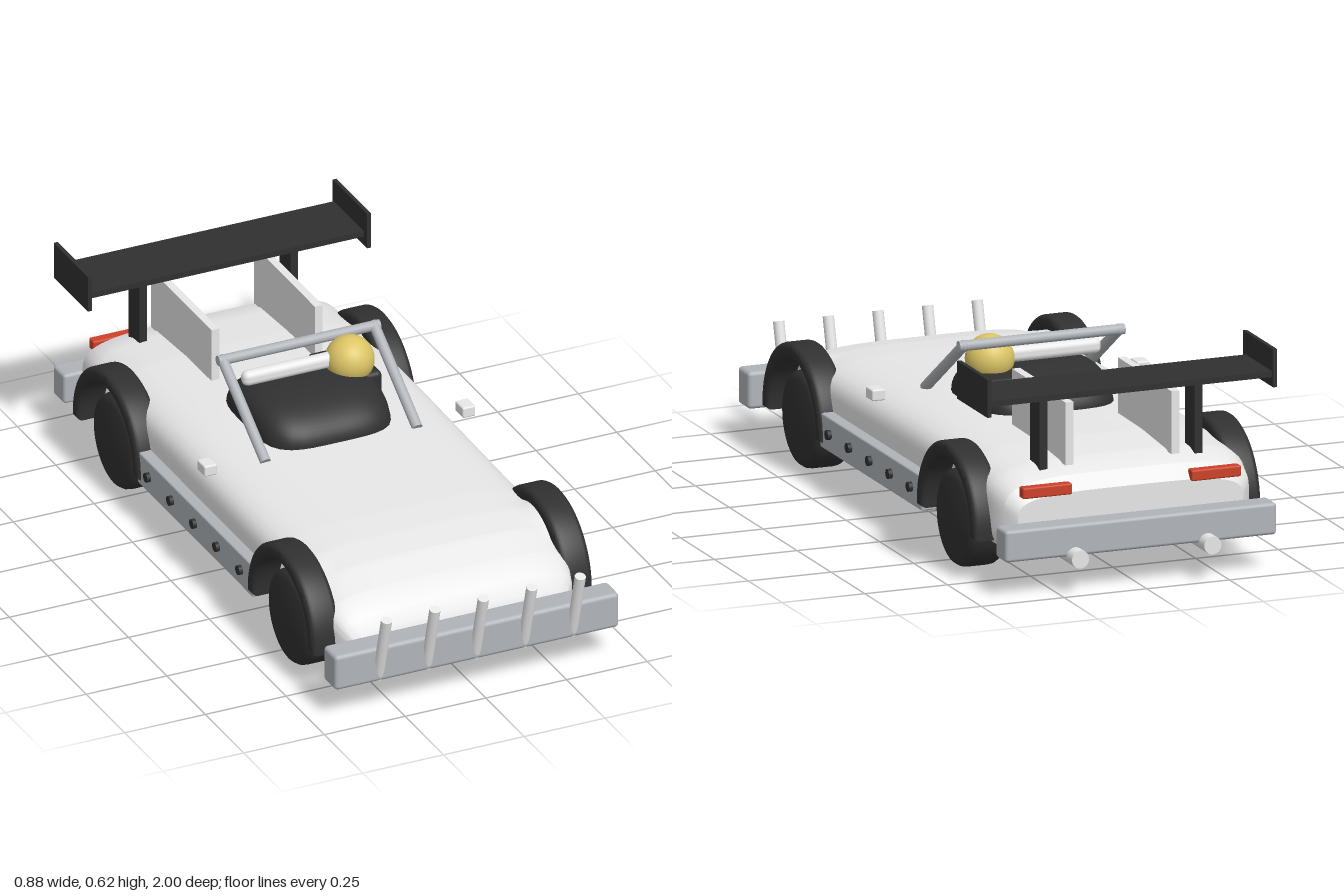
import * as THREE from 'three';
import { toCreasedNormals } from 'three/addons/utils/BufferGeometryUtils.js';
import { RoundedBoxGeometry } from 'three/addons/geometries/RoundedBoxGeometry.js';

const paint = (name, color) => {
  const m = new THREE.MeshStandardMaterial({ color });
  m.name = name;
  return m;
};

const WHEEL_Z = [0.57, -0.57];
const WHEEL_Y = 0.14;
const ARCH_R = 0.177;

// Body shell: cross-sections along z, cut upward by the full-width wheel arches.
function bodyGeometry() {
  // z, top, bottom, half width
  const keys = [
    [0.852, 0.17, 0.12, 0.31], [0.838, 0.205, 0.105, 0.335], [0.81, 0.241, 0.095, 0.358],
    [0.75, 0.282, 0.085, 0.377], [0.66, 0.317, 0.08, 0.385], [0.57, 0.332, 0.08, 0.388],
    [0.45, 0.34, 0.08, 0.39], [0, 0.35, 0.08, 0.39], [-0.2, 0.355, 0.08, 0.39],
    [-0.6, 0.35, 0.08, 0.39], [-0.78, 0.337, 0.08, 0.385], [-0.85, 0.312, 0.09, 0.37],
    [-0.88, 0.27, 0.11, 0.34],
  ];
  const zs = keys.map((k) => k[0]);
  for (const c of WHEEL_Z) {
    for (const s of [-1, 1]) zs.push(c + s * (ARCH_R + 0.0005));
    for (let i = 0; i <= 24; i++) zs.push(c + (ARCH_R - 0.0005) * Math.cos((i / 24) * Math.PI) + 1e-5);
  }
  zs.sort((a, b) => b - a);
  const sample = (z) => {
    let i = 0;
    while (i < keys.length - 2 && z < keys[i + 1][0]) i++;
    const t = (keys[i][0] - z) / (keys[i][0] - keys[i + 1][0]);
    return keys[i].map((v, k) => v + (keys[i + 1][k] - v) * t);
  };
  const N = 64, pos = [], idx = [];
  for (const z of zs) {
    const [, top, bottom, w] = sample(z);
    let floor = 0;
    for (const c of WHEEL_Z) {
      const d = ARCH_R * ARCH_R - (z - c) ** 2;
      if (d > 0) floor = WHEEL_Y + Math.sqrt(d);
    }
    for (let j = 0; j < N; j++) {
      const a = (j / N) * Math.PI * 2, c = Math.cos(a), s = Math.sin(a);
      const p = s < 0 ? 5 : 4;
      const r = 1 / Math.pow(Math.abs(c) ** p + Math.abs(s) ** p, 1 / p);
      const y = (top + bottom) / 2 + ((top - bottom) / 2) * r * s;
      pos.push(w * r * c, Math.max(y, floor), z);
    }
  }
  for (let i = 0; i < zs.length - 1; i++) {
    for (let j = 0; j < N; j++) {
      const k = (j + 1) % N;
      const a = i * N + j, b = i * N + k, d = a + N, e = b + N;
      idx.push(a, d, b, b, d, e);
    }
  }
  const last = (zs.length - 1) * N;
  for (let j = 1; j < N - 1; j++) idx.push(0, j, j + 1, last, last + j + 1, last + j);
  const g = new THREE.BufferGeometry();
  g.setAttribute('position', new THREE.Float32BufferAttribute(pos, 3));
  g.setIndex(idx);
  return toCreasedNormals(g, 0.6);
}

// Cockpit cover: boxy across, rounded front to back.
function coverGeometry() {
  const g = new THREE.SphereGeometry(1, 48, 32);
  const p = g.attributes.position;
  for (let i = 0; i < p.count; i++) {
    const x = p.getX(i), y = p.getY(i), z = p.getZ(i);
    const k = 1 / Math.pow(x ** 4 + (y * y + z * z) ** 2, 0.25);
    p.setXYZ(i, x * k * 0.2, y * k * 0.11, z * k * 0.205);
  }
  g.computeVertexNormals();
  return g;
}

// Half-ring mudguard, extruded along x.
function fenderGeometry() {
  const b = 0.016;
  const s = new THREE.Shape();
  s.absarc(0, 0, 0.218 - b, 0, Math.PI, false);
  s.absarc(0, 0, 0.174 + b, Math.PI, 0, true);
  const g = new THREE.ExtrudeGeometry(s, {
    depth: 0.09 - 2 * b, bevelSize: b, bevelThickness: b, bevelSegments: 4, curveSegments: 32,
  });
  g.translate(0, 0, -(0.09 - 2 * b) / 2);
  g.rotateY(Math.PI / 2);
  return toCreasedNormals(g, 0.6);
}

function tyreGeometry() {
  const pts = [[0, -0.06], [0.115, -0.06], [0.13, -0.054], [0.138, -0.042], [0.14, -0.03],
    [0.14, 0.03], [0.138, 0.042], [0.13, 0.054], [0.115, 0.06], [0, 0.06]];
  const g = new THREE.LatheGeometry(pts.map((p) => new THREE.Vector2(...p)), 48);
  g.rotateZ(Math.PI / 2);
  return toCreasedNormals(g, 0.7);
}

export function createModel() {
  const white = paint('bodyWhite', 0xe8e8e8);
  const black = paint('black', 0x303030);
  const metal = paint('metal', 0xb0b4b9);
  const red = paint('red', 0xcc4128);
  const yellow = paint('helmetYellow', 0xdcc566);

  const root = new THREE.Group();
  root.name = 'openRaceCar';
  const add = (name, geo, mat, x = 0, y = 0, z = 0) => {
    const m = new THREE.Mesh(geo, mat);
    m.name = name;
    m.position.set(x, y, z);
    root.add(m);
    return m;
  };
  // Box given by its limits
  const box = (name, mat, [x0, x1], [y0, y1], [z0, z1], r = 0) => {
    const s = [x1 - x0, y1 - y0, z1 - z0];
    const g = r ? new RoundedBoxGeometry(...s, 3, r) : new THREE.BoxGeometry(...s);
    return add(name, g, mat, (x0 + x1) / 2, (y0 + y1) / 2, (z0 + z1) / 2);
  };
  const rod = (name, mat, from, to, r) => {
    const a = new THREE.Vector3(...from), b = new THREE.Vector3(...to);
    const m = add(name, new THREE.CylinderGeometry(r, r, a.distanceTo(b), 20), mat);
    m.position.copy(a).add(b).multiplyScalar(0.5);
    m.quaternion.setFromUnitVectors(new THREE.Vector3(0, 1, 0), b.sub(a).normalize());
    return m;
  };

  add('body', bodyGeometry(), white);

  // Cockpit and driver
  add('cockpitCover', coverGeometry(), black, 0, 0.348, -0.155);
  box('driverTorso', black, [0.06, 0.21], [0.34, 0.447], [-0.3, -0.11], 0.015);
  add('helmet', new THREE.SphereGeometry(0.07, 32, 24), yellow, 0.135, 0.475, -0.17);
  box('headrest', white, [-0.195, 0.19], [0.46, 0.505], [-0.198, -0.16], 0.018);

  // Roll bar
  rod('rollBarTop', metal, [-0.25, 0.533, -0.22], [0.25, 0.533, -0.22], 0.015);

  // Bumpers, grille and spikes
  box('frontBumper', metal, [-0.44, 0.44], [0.097, 0.205], [0.865, 0.947], 0.012);
  box('rearBumper', metal, [-0.41, 0.41], [0.105, 0.197], [-0.96, -0.885], 0.01);
  box('grille', black, [-0.31, 0.31], [0.1, 0.16], [0.835, 0.867]);
  for (const x of [-0.3, -0.15, 0, 0.15, 0.3])
    rod('bumperSpike', white, [x, 0.1, 0.928], [x, 0.31, 0.985], 0.016);

  // Rear wing blade
  box('wingBlade', black, [-0.43, 0.43], [0.541, 0.558], [-0.885, -0.69]);

  const tyre = tyreGeometry(), fender = fenderGeometry();
  const bolt = new THREE.CylinderGeometry(0.014, 0.014, 0.02, 16).rotateZ(Math.PI / 2);
  const bracket = new THREE.CylinderGeometry(0.035, 0.035, 0.03, 3, 1, false, -Math.PI / 2)
    .rotateZ(Math.PI / 2);

  for (const s of [1, -1]) {
    const span = (a, b) => (s > 0 ? [a, b] : [-b, -a]);

    // Wheels, inner brackets and mudguards
    for (const z of WHEEL_Z) {
      add('wheel', tyre, black, s * 0.352, WHEEL_Y, z);
      add('wheelBracket', bracket, red, s * 0.285, WHEEL_Y + 0.025, z);
      add('fender', fender, black, s * 0.39, WHEEL_Y + 0.002, z);
    }

    // Side sills with bolts
    box('sill', metal, span(0.375, 0.425), [0.112, 0.212], [-0.375, 0.375], 0.005);
    for (const z of [-0.3, -0.15, 0, 0.15, 0.3]) add('sillBolt', bolt, black, s * 0.427, 0.165, z);

    box('mirror', white, span(0.38, 0.42), [0.335, 0.368], [0, 0.052], 0.005);
    rod('rollBarLeg', metal, [s * 0.235, 0.345, 0.06], [s * 0.235, 0.533, -0.22], 0.0155);
    add('rollBarJoint', new THREE.SphereGeometry(0.0165, 16, 12), metal, s * 0.235, 0.533, -0.22);

    // Rear deck panels and wing mounts
    box('deckPanel', white, span(0.148, 0.172), [0.33, 0.512], [-0.82, -0.425]);
    box('wingStrut', black, span(0.222, 0.246), [0.31, 0.545], [-0.81, -0.74]);
    box('wingEndPlate', black, span(0.426, 0.438), [0.513, 0.623], [-0.893, -0.67]);

    // Tail lights and exhausts
    box('tailLight', red, span(0.18, 0.33), [0.265, 0.297], [-0.893, -0.862], 0.005);
    rod('exhaust', white, [s * 0.2, 0.105, -0.86], [s * 0.2, 0.105, -1], 0.026);
  }
  return root;
}
